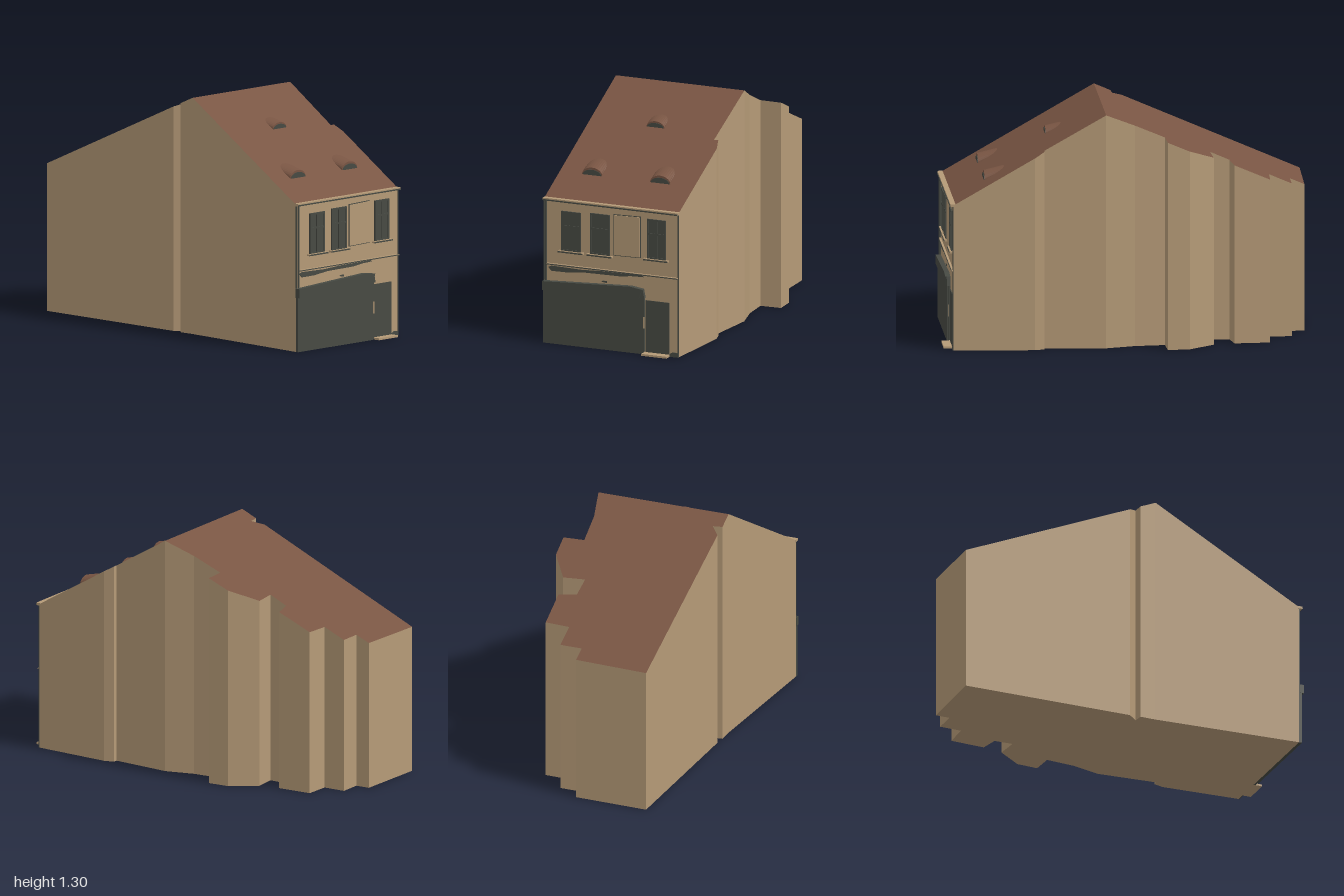
import * as THREE from 'three';

const plaster = new THREE.MeshStandardMaterial({ color: 0xb59a77 });
plaster.name = 'plaster';
const tile = new THREE.MeshStandardMaterial({ color: 0x795543, side: THREE.DoubleSide });
tile.name = 'roofTile';
const dark = new THREE.MeshStandardMaterial({ color: 0x474a43 });
dark.name = 'darkPaint';

// Plan of the house as x, z corners, clockwise from the back left
const plan = [
  [-0.365, -1], [0.05, -0.99], [0.05, -0.91], [0.175, -0.91], [0.175, -0.785], [0.315, -0.78],
  [0.32, -0.585], [0.22, -0.565], [0.215, -0.46], [0.34, -0.47], [0.44, -0.33], [0.445, -0.21],
  [0.325, -0.205], [0.335, -0.04], [0.375, 0.12], [0.345, 0.455], [0.37, 0.455], [0.385, 0.51],
  [0.355, 0.95], [-0.445, 0.95], [-0.39, 0.12], [-0.39, 0.03], [-0.335, 0.025], [-0.385, -0.03],
];
const RIDGE = 0.12;
const FRONT = 0.95;

// Height of the gabled roof at depth z
function roofY(z) {
  return z > RIDGE ? 1.3 - 0.49 * (z - RIDGE) / 0.83 : 1.3 - 0.487 * (RIDGE - z) / 1.12;
}

function add(parent, name, geometry, material) {
  const mesh = new THREE.Mesh(geometry, material);
  mesh.name = name;
  parent.add(mesh);
  return mesh;
}

// Box given by its limits on each axis
function box(parent, name, [x0, x1], [y0, y1], [z0, z1], material) {
  const mesh = add(parent, name, new THREE.BoxGeometry(x1 - x0, y1 - y0, z1 - z0), material);
  mesh.position.set((x0 + x1) / 2, (y0 + y1) / 2, (z0 + z1) / 2);
  return mesh;
}

function shapeOf(points) {
  return new THREE.Shape(points.map(([x, y]) => new THREE.Vector2(x, y)));
}

// Upright plate with an outline in x, y
function plate(parent, name, points, z, depth, material) {
  const geometry = new THREE.ExtrudeGeometry(shapeOf(points), { depth, bevelEnabled: false });
  geometry.translate(0, 0, z);
  return add(parent, name, geometry, material);
}

// Surface from a list of quads, each with four corners
function quads(list) {
  const pos = [];
  for (const [a, b, c, d] of list) pos.push(...a, ...b, ...c, ...a, ...c, ...d);
  const geometry = new THREE.BufferGeometry();
  geometry.setAttribute('position', new THREE.Float32BufferAttribute(pos, 3));
  geometry.computeVertexNormals();
  return geometry;
}

function roofSlope(parent, name, corners) {
  let geometry = new THREE.ShapeGeometry(shapeOf(corners.map(([x, z]) => [x, -z])));
  geometry.rotateX(-Math.PI / 2);
  const p = geometry.attributes.position;
  for (let i = 0; i < p.count; i++) p.setY(i, roofY(p.getZ(i)));
  geometry = geometry.toNonIndexed();
  geometry.computeVertexNormals();
  add(parent, name, geometry, tile);
}

// Low arched roof vent whose hood runs back into the slope
function dormer(parent, cx, z, halfWidth, height, length) {
  const g = new THREE.Group();
  g.name = 'eyebrowDormer';
  const base = roofY(z);
  const steps = 14;
  const front = [], back = [], arch = [], pane = [];
  for (let i = 0; i <= steps; i++) {
    const a = Math.PI * i / steps;
    const s = Math.max(0, Math.sin(a));
    const x = cx + halfWidth * Math.cos(a);
    const zb = z - length * Math.sqrt(s);
    front.push([x, base + height * s, z]);
    back.push([x, roofY(zb) + 0.001, zb]);
    arch.push([x, base + height * s]);
    pane.push([cx + halfWidth * 0.92 * Math.cos(a), base + height * 0.72 * s]);
  }
  const strip = [];
  for (let i = 0; i < steps; i++) strip.push([front[i], back[i], back[i + 1], front[i + 1]]);
  add(g, 'hood', quads(strip), tile);
  plate(g, 'hoodFace', arch, z - 0.004, 0.004, tile);
  plate(g, 'ventPane', pane, z, 0.003, dark);
  parent.add(g);
}

// Four-light window with frame bars and a sill
function windowUnit(parent, x0, x1, y0, y1) {
  const g = new THREE.Group();
  g.name = 'window';
  const mid = (x0 + x1) / 2;
  const bar = y0 + (y1 - y0) * 0.63;
  const z = [FRONT, FRONT + 0.008];
  box(g, 'glass', [x0, x1], [y0, y1], [FRONT - 0.005, FRONT + 0.003], dark);
  for (const [a, b] of [[x0, x0 + 0.01], [mid - 0.006, mid + 0.006], [x1 - 0.01, x1]])
    box(g, 'upright', [a, b], [y0, y1], z, dark);
  for (const [a, b] of [[y0, y0 + 0.01], [bar - 0.005, bar + 0.005], [y1 - 0.01, y1]])
    box(g, 'crossbar', [x0, x1], [a, b], z, dark);
  box(g, 'sill', [x0 - 0.017, x1 + 0.017], [y0 - 0.007, y0 + 0.003], [FRONT, 0.967], plaster);
  box(g, 'sillEdge', [x0 - 0.017, x1 + 0.017], [y0 - 0.007, y0], [0.967, 0.969], dark);
  parent.add(g);
}

export function createModel() {
  const house = new THREE.Group();
  house.name = 'townHouse';

  // Walls follow the plan up to the roof
  add(house, 'walls', quads(plan.map(([x, z], i) => {
    const [u, w] = plan[(i + 1) % plan.length];
    return [[x, 0, z], [x, roofY(z), z], [u, roofY(w), w], [u, 0, w]];
  })), plaster);
  const floor = new THREE.ShapeGeometry(shapeOf(plan));
  floor.rotateX(Math.PI / 2);
  add(house, 'floor', floor, plaster);

  // Roof
  roofSlope(house, 'frontRoof', plan.filter(([, z]) => z >= RIDGE));
  roofSlope(house, 'backRoof', plan.filter(([, z]) => z <= RIDGE));
  dormer(house, -0.24, 0.77, 0.06, 0.042, 0.11);
  dormer(house, 0.165, 0.77, 0.06, 0.042, 0.11);
  dormer(house, -0.02, 0.42, 0.053, 0.034, 0.085);

  // Cornice, gutter line and downpipe
  box(house, 'cornice', [-0.447, 0.357], [0.802, 0.816], [0.94, 0.968], plaster);
  box(house, 'gutter', [-0.447, 0.357], [0.802, 0.809], [0.968, 0.971], dark);
  const pipe = add(house, 'downpipe', new THREE.CylinderGeometry(0.005, 0.005, 0.45, 8), dark);
  pipe.position.set(-0.431, 0.577, 0.957);
  box(house, 'leftEdgeStrip', [-0.446, -0.441], [0.35, 0.802], [FRONT, 0.955], dark);
  box(house, 'rightEdgeStrip', [0.352, 0.357], [0, 0.802], [FRONT, 0.955], dark);

  // Upper floor windows
  windowUnit(house, -0.34, -0.225, 0.525, 0.75);
  windowUnit(house, -0.168, -0.052, 0.525, 0.757);
  windowUnit(house, 0.17, 0.281, 0.537, 0.762);

  // Blind window: a raised panel with a thin dark outline
  plate(house, 'blindOutline', [[-0.031, 0.532], [0.131, 0.535], [0.131, 0.769], [-0.031, 0.765]], FRONT, 0.003, dark);
  plate(house, 'blindPanel', [[-0.027, 0.536], [0.127, 0.539], [0.127, 0.765], [-0.027, 0.761]], FRONT, 0.006, plaster);

  // Belt course with a weathered stain beneath
  box(house, 'beltCourse', [-0.428, 0.355], [0.441, 0.448], [FRONT, 0.961], plaster);
  box(house, 'beltEdge', [-0.428, 0.355], [0.441, 0.446], [0.961, 0.963], dark);
  plate(house, 'stain', [
    [-0.42, 0.425], [-0.4, 0.405], [-0.3, 0.406], [-0.2, 0.417], [0, 0.419], [0.08, 0.428],
    [0.15, 0.43], [0.14, 0.438], [-0.1, 0.436], [-0.22, 0.43], [-0.4, 0.434],
  ], FRONT, 0.003, dark);
  plate(house, 'smallStain', [[-0.105, 0.378], [-0.07, 0.372], [-0.07, 0.384], [-0.095, 0.383]], FRONT, 0.003, dark);

  // Shop front with a sloping header
  box(house, 'shopPanel', [-0.445, 0.132], [0, 0.315], [FRONT, 0.967], dark);
  box(house, 'shopPost', [0.132, 0.155], [0, 0.32], [FRONT, 0.962], dark);
  box(house, 'doorHandlePlate', [0.149, 0.157], [0.145, 0.21], [0.962, 0.964], plaster);
  plate(house, 'shopHeader', [
    [-0.446, 0.298], [0.13, 0.315], [0.15, 0.365], [0.08, 0.375], [-0.1, 0.366], [-0.446, 0.348],
  ], FRONT, 0.028, dark);
  plate(house, 'headerReturn', [[0.13, 0.315], [0.16, 0.315], [0.15, 0.365]], FRONT, 0.02, dark);

  // Door, step and corner stone
  box(house, 'door', [0.16, 0.3], [0.01, 0.302], [FRONT - 0.005, FRONT + 0.004], dark);
  box(house, 'doorStep', [0.155, 0.305], [0, 0.011], [0.94, 1], plaster);
  plate(house, 'cornerStone', [[0.305, 0], [0.356, 0], [0.356, 0.024], [0.322, 0.026], [0.305, 0.016]], FRONT, 0.006, dark);

  return house;
}
